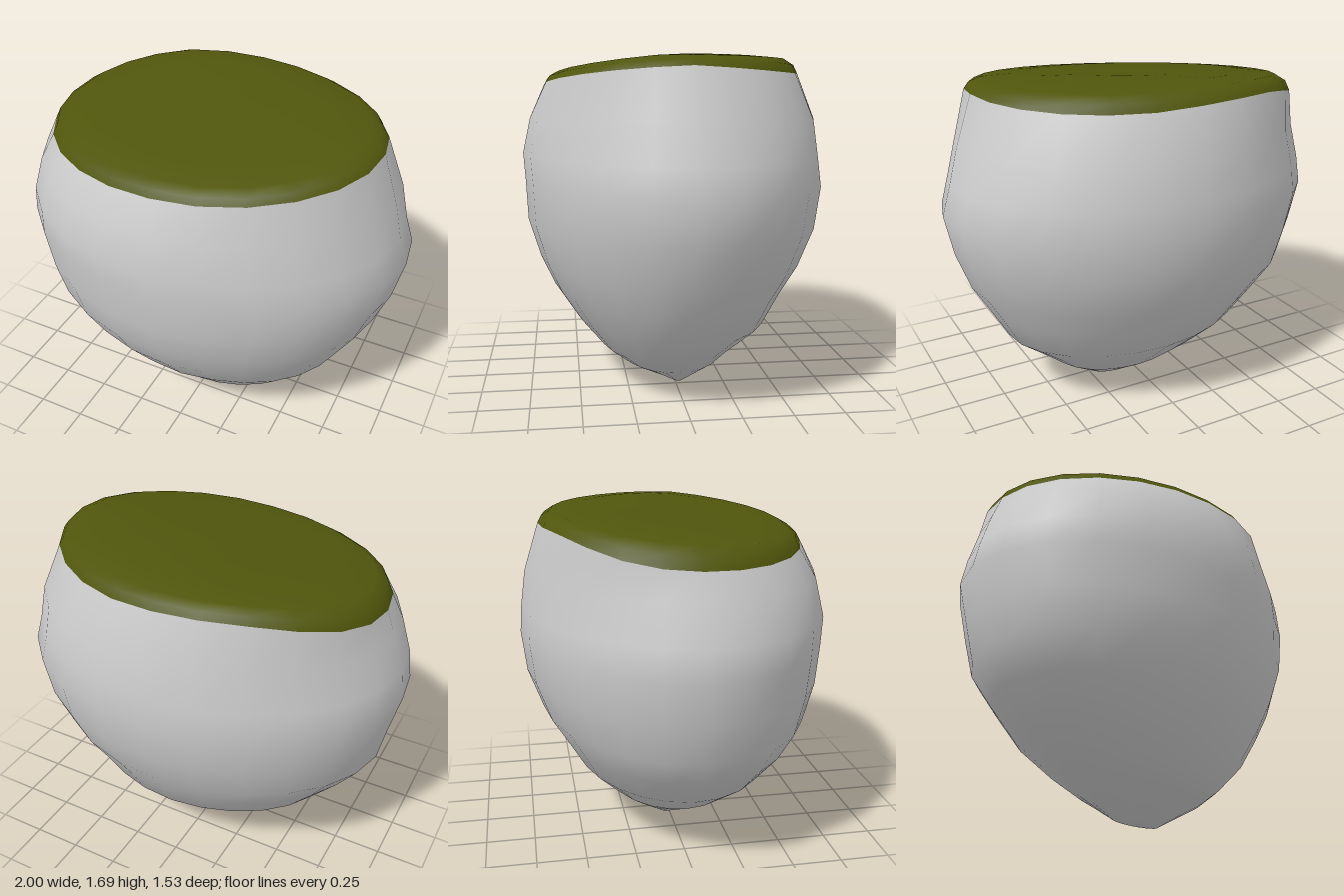
import * as THREE from 'three';

const SEGMENTS = 24;

// Skin a stack of closed rings, listed so that the surface faces outward.
function loft(rings) {
  const positions = rings.flat(2);
  const index = [];
  for (let i = 0; i < rings.length - 1; i++) {
    for (let j = 0; j < SEGMENTS; j++) {
      const k = (j + 1) % SEGMENTS;
      const a = i * SEGMENTS + j, b = i * SEGMENTS + k;
      const c = a + SEGMENTS, d = b + SEGMENTS;
      index.push(a, c, b, b, c, d);
    }
  }
  const geometry = new THREE.BufferGeometry();
  geometry.setAttribute('position', new THREE.Float32BufferAttribute(positions, 3));
  geometry.setIndex(index);
  geometry.computeVertexNormals();
  return geometry;
}

// Uneven oval from its left, right, front and back reach.
function oval([x0, x1, zf, zb], skew, height) {
  const cx = (x0 + x1) / 2, cz = (zf + zb) / 2;
  const rx = (x1 - x0) / 2, rz = (zf - zb) / 2;
  return Array.from({ length: SEGMENTS }, (_, j) => {
    const a = (j / SEGMENTS) * Math.PI * 2;
    const twist = Math.sin(2 * a);
    const crease = Math.exp(-(((a - 1.2) / 0.18) ** 2)) * 0.4;
    const s = 1 - skew * (Math.max(twist, twist * 0.5) + crease);
    const x = cx + rx * Math.cos(a) * s, z = cz + rz * Math.sin(a) * s;
    return [x, height(x, z, a), z];
  });
}

// The rim is tilted, lower at the back left and raised at the back right.
const RIM = [-0.87, 0.825, 0.655, -0.655];
const RIM_SKEW = -0.015;
const rimHeight = (x, z, a) => 1.575 + 0.07 * x - 0.04 * z
  - 0.1 * Math.max(x, 0) * Math.max(-z, 0)
  + 0.055 * Math.exp(-(((a - 4.19) / 0.5) ** 2));

// Top of the cap: a gentle slope that levels off.
const topHeight = (x, z) => Math.min(1.69, 1.665 + 0.05 * x - 0.08 * z);

export function createModel() {
  const group = new THREE.Group();
  const grey = new THREE.MeshStandardMaterial({ color: 0xcccccc });
  grey.name = 'pale grey';
  const olive = new THREE.MeshStandardMaterial({ color: 0x50560c });
  olive.name = 'olive';

  // Body: height, then left, right, front, back reach
  const levels = [
    [0, 0.069, 0.071, -0.019, -0.021],
    [0, -0.08, 0.22, 0.03, -0.07],
    [0.12, -0.30, 0.43, 0.27, -0.25],
    [0.2, -0.45, 0.53, 0.38, -0.335],
    [0.34, -0.655, 0.70, 0.51, -0.485],
    [0.5, -0.80, 0.79, 0.62, -0.575],
    [0.65, -0.91, 0.88, 0.69, -0.665],
    [0.85, -0.95, 0.955, 0.75, -0.74],
    [1.06, -1.0, 1.0, 0.76, -0.765],
    [1.2, -0.975, 0.955, 0.77, -0.755],
    [1.38, -0.92, 0.91, 0.73, -0.73],
  ];
  const bodyRings = levels.map(([y, ...reach]) => oval(reach, y > 0.3 ? 0.035 : 0, () => y));
  bodyRings.push(oval(RIM, RIM_SKEW, rimHeight));
  const body = new THREE.Mesh(loft(bodyRings), grey);
  body.name = 'body';
  group.add(body);

  // Cap: rounded edge rising from the rim to the sloping top
  const dome = [[1, 0], [0.97, 0.5], [0.9, 0.85], [0.7, 1], [0.35, 1], [0.001, 1]];
  const capRings = dome.map(([f, t]) => oval(RIM.map((r) => r * f), RIM_SKEW, (x, z, a) =>
    THREE.MathUtils.lerp(rimHeight(x, z, a), topHeight(x, z), t)));
  const cap = new THREE.Mesh(loft(capRings), olive);
  cap.name = 'cap';
  group.add(cap);

  return group;
}
